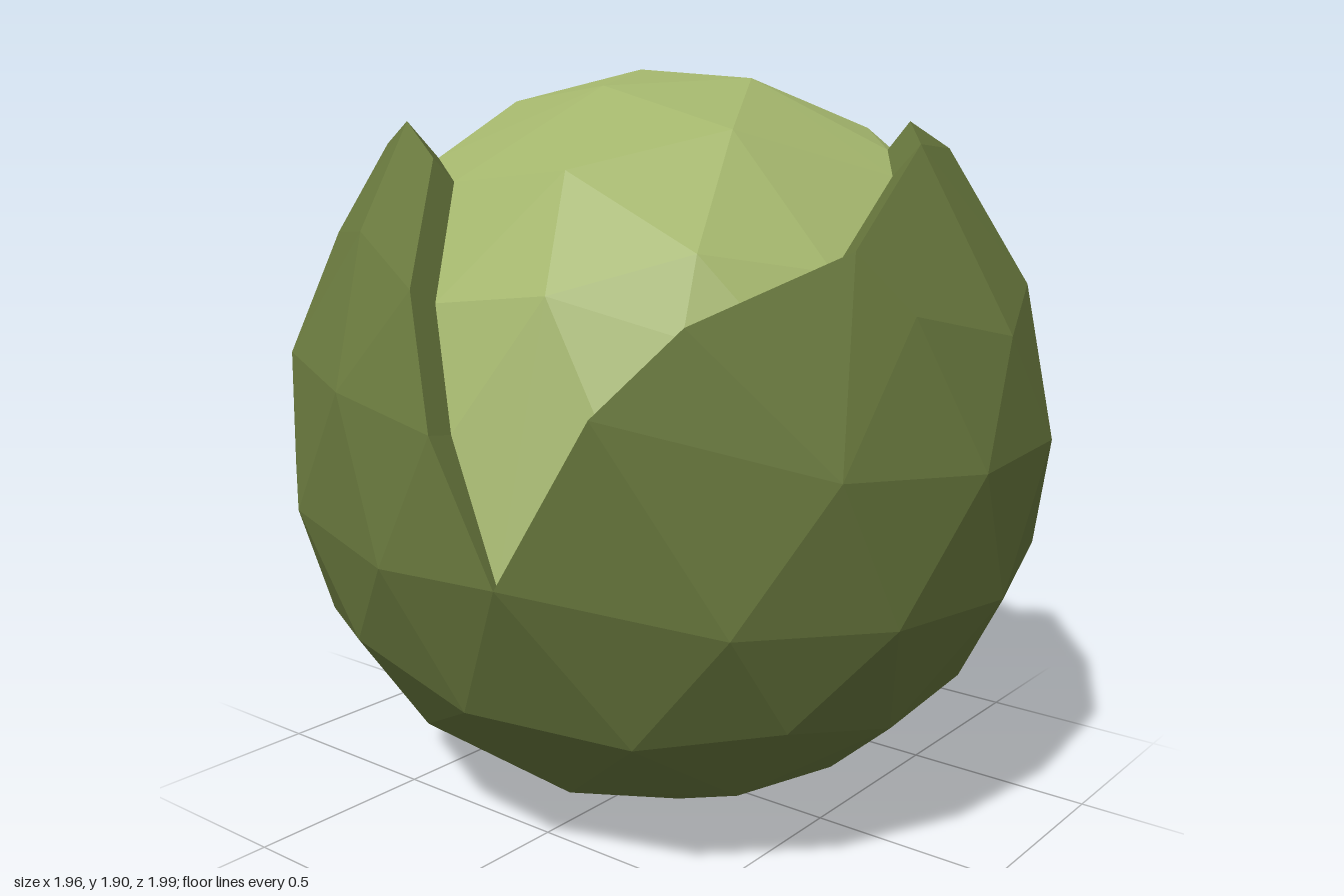
import * as THREE from 'three';
import { ConvexGeometry } from 'three/addons/geometries/ConvexGeometry.js';

const CENTRE = new THREE.Vector3(0, 0.98, 0);

// Wavy rim of the husk: three leaves meeting at three low notches
const NOTCHES = [0, 8, 17];
const RIM = [
  [0.95, 1.09, 0.32], // left notch, then the front leaf
  [0.74, 1.44, 0.52], [0.43, 1.71, 0.57], [0.19, 1.78, 0.59], [0.05, 1.73, 0.7],
  [-0.37, 1.52, 0.79], [-0.71, 1.38, 0.6], [-0.87, 1.2, 0.48],
  [-0.95, 0.82, 0.28], // right notch, then the back right leaf
  [-0.98, 1.14, 0.13], [-0.9, 1.43, 0], [-0.68, 1.7, -0.15], [-0.54, 1.78, -0.39],
  [-0.42, 1.72, -0.6], [-0.25, 1.59, -0.72], [-0.12, 1.32, -0.9], [-0.04, 1.14, -0.98],
  [0.04, 0.94, -1], // back notch, then the back left leaf
  [0.24, 1.2, -0.94], [0.45, 1.34, -0.82], [0.6, 1.39, -0.7], [0.77, 1.415, -0.5],
  [0.92, 1.36, -0.25], [0.97, 1.31, -0.05], [0.98, 1.2, 0.1],
].map((p) => new THREE.Vector3(...p).sub(CENTRE).clampLength(1, 1.05));

const azimuth = (p) => Math.atan2(p.z, p.x);
const elevation = (p) => Math.atan2(p.y, Math.hypot(p.x, p.z));
const TURN = Math.PI * 2;
const wrap = (a) => ((a % TURN) + TURN) % TURN;

// Elevation of the rim in the direction of p
function rimElevation(p) {
  for (let i = 0; i < RIM.length; i++) {
    const a = RIM[i], b = RIM[(i + 1) % RIM.length];
    const span = wrap(azimuth(b) - azimuth(a));
    const t = wrap(azimuth(p) - azimuth(a)) / span;
    if (t <= 1) return THREE.MathUtils.lerp(elevation(a), elevation(b), t);
  }
  return 0;
}

// Distinct points of a tilted, slightly flattened geodesic ball
function ballPoints(radius, height, tilt) {
  const pos = new THREE.IcosahedronGeometry(1, 2)
    .rotateZ(0.5536).rotateY(0.4).rotateX(tilt)
    .scale(radius, height, radius).attributes.position;
  const points = [];
  for (let i = 0; i < pos.count; i++) {
    const p = new THREE.Vector3().fromBufferAttribute(pos, i);
    if (!points.some((q) => q.distanceTo(p) < 0.01)) points.push(p);
  }
  return points;
}

const clearOf = (ring, gap) => (p) => ring.every((q) => q.distanceTo(p) > gap);

function surface(points) {
  const g = new THREE.BufferGeometry().setFromPoints(points);
  g.computeVertexNormals();
  return g;
}

export function createModel() {
  const group = new THREE.Group();
  const huskMat = new THREE.MeshStandardMaterial({
    color: 0x6b7b3f, flatShading: true, side: THREE.DoubleSide,
  });
  const coreMat = new THREE.MeshStandardMaterial({ color: 0xa3b56c, flatShading: true });
  const add = (name, geometry, material) => {
    const mesh = new THREE.Mesh(geometry, material);
    mesh.name = name;
    mesh.position.copy(CENTRE);
    group.add(mesh);
  };

  // Inner edge of the rim, touching the core; the leaves thin out at the notches
  const inner = RIM.map((p, i) => p.clone().setLength(NOTCHES.includes(i) ? 0.985 : 0.925));

  // Husk: faceted ball cut away above the rim
  const below = ballPoints(0.998, 0.983, 0.13)
    .filter((p) => elevation(p) < rimElevation(p))
    .filter(clearOf(RIM, 0.19));
  const hull = new ConvexGeometry([...RIM, ...below]).attributes.position;
  const kept = [];
  for (let i = 0; i < hull.count; i += 3) {
    const tri = [0, 1, 2].map((k) => new THREE.Vector3().fromBufferAttribute(hull, i + k));
    const mid = new THREE.Vector3().add(tri[0]).add(tri[1]).add(tri[2]).divideScalar(3);
    if (elevation(mid) < rimElevation(mid)) kept.push(...tri);
  }
  add('husk', surface(kept), huskMat);

  // Thick edge of the leaves
  const strip = [];
  RIM.forEach((a, i) => {
    const j = (i + 1) % RIM.length;
    strip.push(a, inner[i], RIM[j], RIM[j], inner[i], inner[j]);
  });
  add('huskEdge', surface(strip), huskMat);

  // Pale core filling the husk
  const core = ballPoints(0.95, 0.932, -0.1).filter(clearOf(inner, 0.13));
  add('core', new ConvexGeometry([...core, ...inner]), coreMat);

  return group;
}
